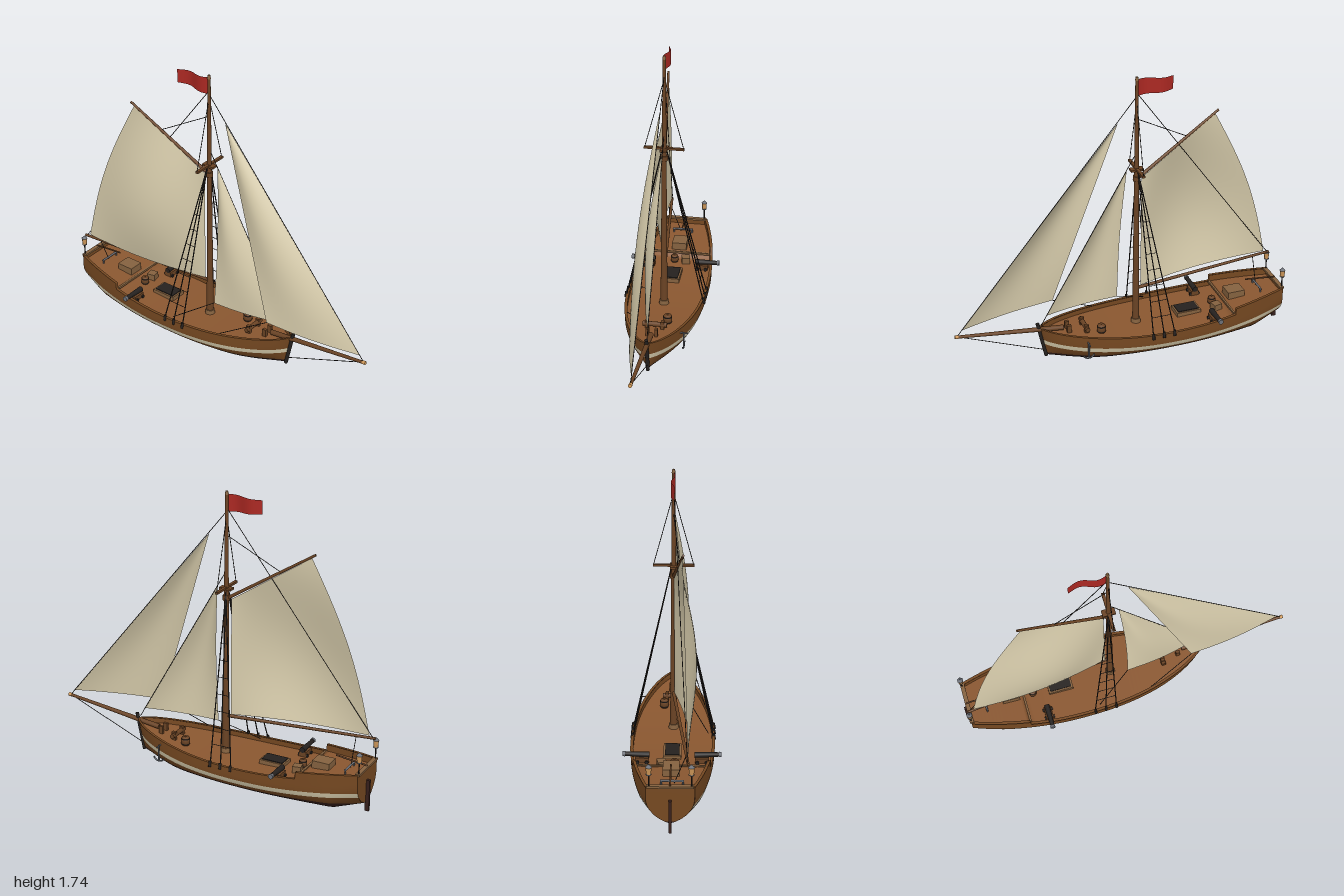
import * as THREE from 'three';

const mat = (name, color, double = false) => {
  const m = new THREE.MeshStandardMaterial({ color });
  m.name = name;
  if (double) m.side = THREE.DoubleSide;
  return m;
};
const V = (p) => new THREE.Vector3(...p);
const lerp = THREE.MathUtils.lerp;

export function createModel() {
  const root = new THREE.Group();
  root.name = 'sailingCutter';
  const hullMat = mat('hullBrown', 0x754821, true), deckMat = mat('deckBrown', 0x8a5730, true);
  const bottomMat = mat('darkBottom', 0x361f1b, true), canvas = mat('canvas', 0xd5caaa, true);
  const spar = mat('sparBrown', 0x6a4324), iron = mat('blackIron', 0x25211f);
  const steel = mat('greySteel', 0x6c7078), red = mat('flagRed', 0xab2822, true);
  const amber = mat('lampAmber', 0xd29a5a), crateMat = mat('crateTan', 0x85623f);

  const add = (name, geo, m, p = [0, 0, 0], parent = root) => {
    const mesh = new THREE.Mesh(geo, m);
    mesh.name = name;
    mesh.position.set(...p);
    parent.add(mesh);
    return mesh;
  };
  const box = (name, size, p, m) => add(name, new THREE.BoxGeometry(...size), m, p);
  const post = (name, r0, r1, h, p, m, sides = 12) =>
    add(name, new THREE.CylinderGeometry(r1, r0, h, sides), m, p);
  // Round bar from a to b, radius r0 at a and r1 at b
  const rod = (name, a, b, r0, m, r1 = r0, sides = 10) => {
    const d = V(b).sub(V(a));
    const mesh = add(name, new THREE.CylinderGeometry(r1, r0, d.length(), sides), m);
    mesh.position.copy(V(a).addScaledVector(d, 0.5));
    mesh.quaternion.setFromUnitVectors(new THREE.Vector3(0, 1, 0), d.normalize());
    return mesh;
  };
  const rope = (name, a, b, r = 0.0022) => rod(name, a, b, r, iron, r, 5);
  // Surface swept by fn(i, j) over a grid
  const grid = (name, nu, nv, fn, m) => {
    const pos = [], idx = [];
    for (let i = 0; i <= nu; i++) for (let j = 0; j <= nv; j++) pos.push(...fn(i, j));
    for (let i = 0; i < nu; i++) for (let j = 0; j < nv; j++) {
      const a = i * (nv + 1) + j, b = a + nv + 1;
      idx.push(a, b, a + 1, b, b + 1, a + 1);
    }
    const g = new THREE.BufferGeometry();
    g.setAttribute('position', new THREE.Float32BufferAttribute(pos, 3));
    g.setIndex(idx);
    g.computeVertexNormals();
    return add(name, g, m);
  };

  // Hull lines
  const STERN = -0.98, STEP = -0.64, BOW = 0.48;
  const low = (x) => 0.202 + (x < -0.2 ? 0.02 * ((x + 0.2) / 0.44) ** 2 : 0.053 * ((x + 0.2) / 0.68) ** 2);
  const sheer = (x) => x < STEP ? 0.262 + 0.025 * (STEP - x) / 0.34 : low(x);
  const deckY = (x) => sheer(x) - (x < STEP ? 0.04 : 0.03);
  const keel = (x) => x < -0.8 ? 0.07 * (-0.8 - x) / 0.18 : x > 0.1 ? 0.065 * ((x - 0.1) / 0.38) ** 2 : 0;
  const beam = (x) => 0.235 * (x < -0.32 ? 1 - 0.45 * ((x + 0.32) / 0.66) ** 2
    : Math.max(0, 1 - ((x + 0.32) / 0.8) ** 2.4) ** 0.7);
  const width = (x, y) => {
    const q = Math.min(Math.max((y - keel(x)) / (low(x) - keel(x)) / 0.75, 0), 1);
    return beam(x) * (1 - (1 - q) ** 2) ** 0.7;
  };
  const rake = (x, y) => x + (y - 0.15) * 0.2 * THREE.MathUtils.smoothstep(x, 0.1, BOW);
  const stripe = (x) => 0.105 + 0.04 * ((x + 0.25) / 0.73) ** 2;
  const xs = [];
  for (let i = 0; i <= 16; i++) xs.push(lerp(STERN, STEP - 0.001, i / 16));
  for (let i = 0; i <= 50; i++) xs.push(lerp(STEP + 0.001, BOW, 1 - (1 - i / 50) ** 1.5));
  const N = xs.length - 1;

  // Planking bands: dark bottom, lower topside, stripe, upper topside, plus transom pieces
  const bands = [
    ['bottom', keel, () => 0.08, bottomMat, 10],
    ['lowerTopside', () => 0.08, stripe, hullMat, 3],
    ['paintedStripe', stripe, (x) => stripe(x) + 0.03, canvas, 2],
    ['upperTopside', (x) => stripe(x) + 0.03, sheer, hullMat, 4],
  ];
  for (const [name, y0, y1, m, nv] of bands) {
    for (const s of [1, -1]) grid(name, N, nv, (i, j) => {
      const x = xs[i], y = lerp(y0(x), y1(x), (j / nv) ** 1.5);
      return [rake(x, y), y, s * width(x, y)];
    }, m);
    grid(name + 'Transom', nv, 2, (i, j) => {
      const y = lerp(y0(STERN), y1(STERN), i / nv);
      return [STERN, y, (j - 1) * width(STERN, y)];
    }, name === 'paintedStripe' ? hullMat : m);
  }
  // Rail cap, inner bulwark, deck
  const inner = (x) => Math.max(beam(x) - 0.014, 0);
  for (const s of [1, -1]) {
    grid('railCap', N, 1, (i, j) => {
      const x = xs[i], y = sheer(x) + 0.001;
      return [rake(x, y), y, s * (j ? inner(x) : beam(x) + 0.003)];
    }, hullMat);
    grid('innerBulwark', N, 1, (i, j) => {
      const x = xs[i], y = j ? deckY(x) : sheer(x);
      return [rake(x, y), y, s * inner(x)];
    }, hullMat);
  }
  grid('deck', N, 2, (i, j) => [rake(xs[i], deckY(xs[i])), deckY(xs[i]), (j - 1) * inner(xs[i])], deckMat);
  box('transomRail', [0.025, 0.012, 0.25], [-0.975, 0.287, 0], crateMat);
  box('quarterdeckEdge', [0.012, 0.012, 0.39], [-0.637, 0.222, 0], crateMat);
  rod('stemPost', [0.465, 0.06, 0], [0.513, 0.285, 0], 0.011, iron);
  box('rudder', [0.024, 0.19, 0.016], [-0.988, 0.115, 0], bottomMat);
  rod('tiller', [-0.98, 0.295, 0], [-0.79, 0.315, 0], 0.005, spar);

  // Spars
  const MX = -0.09;
  rod('mast', [MX, 0.17, 0], [MX, 1.72, 0], 0.021, spar, 0.009, 16);
  post('mastCollar', 0.03, 0.026, 0.03, [MX, 0.185, 0], crateMat);
  post('mastCap', 0.011, 0.007, 0.02, [MX, 1.725, 0], crateMat);
  post('mastBand', 0.021, 0.021, 0.03, [MX, 1.12, 0], spar);
  box('crosstree', [0.018, 0.012, 0.23], [MX, 1.18, 0], spar);
  box('trestletree', [0.075, 0.012, 0.04], [MX, 1.175, 0], spar);
  rod('gaff', [-0.1, 1.12, 0], [-0.605, 1.435, 0.06], 0.01, spar, 0.007);
  rod('boom', [-0.1, 0.402, 0], [-0.98, 0.42, 0.095], 0.01, spar, 0.008);
  rod('bowsprit', [0.36, 0.228, 0], [0.985, 0.3, 0], 0.016, spar, 0.009);
  rod('bowspritCap', [0.98, 0.3, 0], [1, 0.302, 0], 0.011, amber);

  // Sails: four corners, belly depth and outward curve of the free edge
  const sail = (name, tack, clew, head, peak, belly, roach) => grid(name, 20, 24, (i, j) => {
    const u = i / 20, v = j / 24;
    const p = V(tack).lerp(V(clew), u).lerp(V(head).lerp(V(peak), u), v);
    p.x -= roach * u * u * Math.sin(Math.PI * v);
    p.z += belly * Math.sin(Math.PI * u) * Math.sin(Math.PI * lerp(0.12, 1, v));
    return p.toArray();
  }, canvas);
  sail('mainsail', [-0.12, 0.412, 0.005], [-0.945, 0.432, 0.092], [-0.12, 1.115, 0.003], [-0.585, 1.415, 0.057], 0.09, 0.05);
  sail('jib', [0.963, 0.337, 0], [0.39, 0.362, 0.095], [0.02, 1.478, 0], [0.02, 1.478, 0], 0.045, 0);
  sail('staysail', [0.46, 0.327, 0], [0.0, 0.318, 0.075], [-0.033, 1.185, 0], [-0.033, 1.185, 0], 0.045, -0.012);
  grid('flag', 16, 2, (i, j) => {
    const t = i / 16;
    return [lerp(-0.095, -0.305, t), lerp(lerp(1.62, 1.63, t), lerp(1.72, 1.71, t), j / 2), 0.012 * Math.sin(t * 7)];
  }, red);

  // Running rigging and stays
  rope('outerStay', [MX, 1.62, 0], [0.985, 0.305, 0]);
  rope('forestay', [MX, 1.28, 0], [0.49, 0.27, 0]);
  rope('bobstay', [0.97, 0.295, 0], [0.475, 0.1, 0]);
  rope('toppingLift', [MX, 1.64, 0], [-0.97, 0.42, 0.09]);
  rope('peakHalyard', [MX, 1.485, 0], [-0.41, 1.31, 0.037]);
  rope('mainsheet', [-0.87, 0.25, 0.02], [-0.87, 0.415, 0.083]);
  rope('staysailSheet', [0, 0.32, 0.075], [-0.21, 0.2, 0.2]);
  rope('jibSheet', [0.39, 0.362, 0.095], [0.12, 0.215, 0.18]);

  for (const s of [1, -1]) {
    // Shrouds with deadeyes and ratlines
    const feet = [-0.245, -0.18, -0.115].map((x) => [x, 0.215, s * 0.225]);
    const top = [MX - 0.005, 1.16, s * 0.015];
    for (const f of feet) {
      rope('shroud', f, top, 0.0035);
      rod('deadeye', [f[0], 0.18, s * 0.236], [f[0], 0.215, s * 0.23], 0.008, iron);
    }
    for (let k = 1; k <= 7; k++) {
      const at = (f) => V(f).lerp(V(top), k * 0.1).toArray();
      rope('ratline', at(feet[0]), at(feet[2]), 0.0018);
    }
    rope('topmastShroud', [MX, 1.6, 0], [MX, 1.18, s * 0.112]);

    // Stern lanterns
    const lx = -0.978, lz = s * 0.112;
    post('lanternPost', 0.004, 0.004, 0.08, [lx, 0.325, lz], iron, 8);
    post('lanternGlass', 0.013, 0.016, 0.04, [lx, 0.383, lz], amber, 6);
    post('lanternRoof', 0.019, 0.003, 0.016, [lx, 0.411, lz], steel, 6);
    post('lanternBase', 0.015, 0.015, 0.006, [lx, 0.361, lz], steel, 6);

    // Cannons on carriages
    rod('cannonBarrel', [-0.52, 0.228, s * 0.125], [-0.52, 0.232, s * 0.262], 0.017, iron, 0.012, 12);
    rod('cannonMuzzle', [-0.52, 0.232, s * 0.258], [-0.52, 0.232, s * 0.272], 0.015, steel, 0.015, 12);
    box('cannonCarriage', [0.045, 0.03, 0.075], [-0.52, 0.201, s * 0.165], spar);
    for (const dx of [-0.026, 0.026]) for (const dz of [0.14, 0.19])
      rod('carriageWheel', [-0.52 + dx - 0.004, 0.192, s * dz], [-0.52 + dx + 0.004, 0.192, s * dz], 0.01, iron);
  }

  // Deck fittings
  box('hatchFrame', [0.15, 0.026, 0.1], [-0.41, 0.187, 0], crateMat);
  box('hatchCover', [0.13, 0.006, 0.08], [-0.41, 0.202, 0], iron);
  box('largeCrate', [0.105, 0.045, 0.09], [-0.715, 0.247, 0], crateMat);
  box('smallCrate', [0.05, 0.04, 0.05], [-0.58, 0.205, -0.055], crateMat).rotation.y = 0.2;
  const barrel = (x, y, z, r, h) => {
    const pts = [[0, 0], [0.8, 0], [1, 0.35], [1, 0.65], [0.8, 1], [0, 1]];
    add('barrel', new THREE.LatheGeometry(pts.map(([a, b]) => new THREE.Vector2(a * r, b * h)), 14), spar, [x, y, z]);
    for (const t of [0.2, 0.8]) post('barrelHoop', r * 0.95, r * 0.95, 0.006, [x, y + h * t, z], iron, 14);
  };
  barrel(-0.58, 0.185, 0.015, 0.024, 0.045);
  barrel(0.145, 0.185, -0.06, 0.027, 0.05);
  // Windlass and bitts
  for (const z of [-0.045, 0.045]) box('windlassPost', [0.025, 0.055, 0.018], [0.23, 0.215, z], spar);
  rod('windlassDrum', [0.23, 0.22, -0.07], [0.23, 0.22, 0.07], 0.014, spar);
  for (const z of [-0.025, 0.025]) box('bitt', [0.025, 0.05, 0.018], [0.33, 0.225, z], spar);
  // Sheet horse at the stern
  rod('sheetHorse', [-0.87, 0.262, -0.055], [-0.87, 0.262, 0.07], 0.006, steel);
  for (const z of [-0.05, 0.065]) rod('horseLeg', [-0.87, 0.23, z], [-0.87, 0.262, z], 0.005, steel);

  // Anchor hung on the starboard bow
  const ax = 0.26, az = -0.172;
  rod('anchorShank', [ax, 0.1, az], [ax, 0.2, az], 0.005, steel);
  rod('anchorStock', [ax, 0.195, az - 0.025], [ax, 0.195, az + 0.025], 0.004, steel);
  const arms = add('anchorArms', new THREE.TorusGeometry(0.035, 0.005, 6, 14, Math.PI * 0.8), steel, [ax, 0.135, az]);
  arms.rotation.z = Math.PI * 1.1;
  return root;
}
